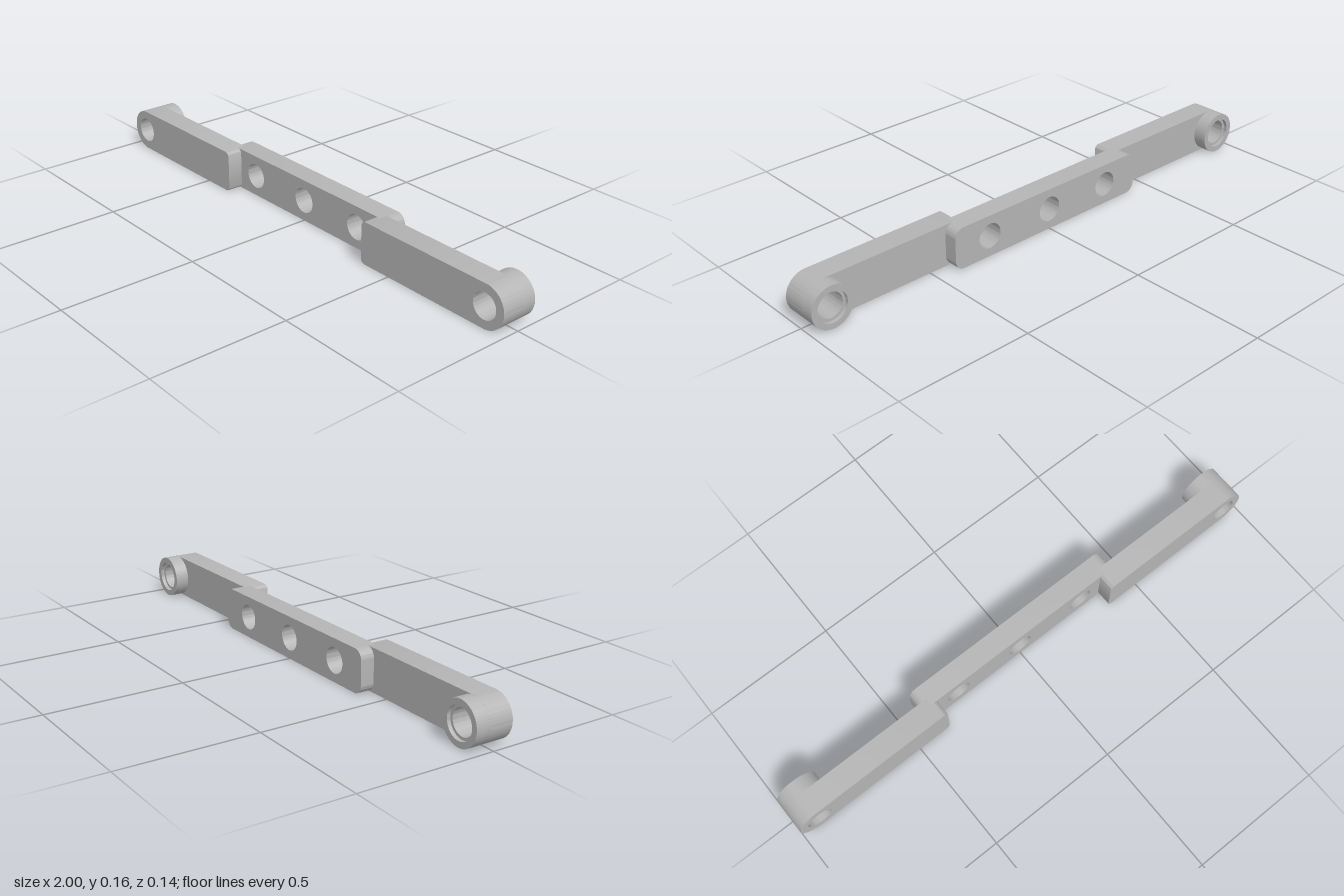
import * as THREE from 'three';
import { toCreasedNormals } from 'three/addons/utils/BufferGeometryUtils.js';

const R = 0.0785;      // half height of the link
const HOLE = 0.047;    // pin hole radius
const END = 1 - R;     // x of the end pin holes

// Rounded rectangle from x0 to x1 with its own corner radius at each end
function barShape(x0, x1, r0, r1) {
  const s = new THREE.Shape();
  s.moveTo(x0 + r0, -R);
  s.lineTo(x1 - r1, -R);
  s.absarc(x1 - r1, -R + r1, r1, -Math.PI / 2, 0, false);
  s.absarc(x1 - r1, R - r1, r1, 0, Math.PI / 2, false);
  s.lineTo(x0 + r0, R);
  s.absarc(x0 + r0, R - r0, r0, Math.PI / 2, Math.PI, false);
  s.absarc(x0 + r0, -R + r0, r0, Math.PI, Math.PI * 1.5, false);
  return s;
}

function addHole(shape, x, r) {
  const hole = new THREE.Path();
  hole.absarc(x, 0, r, 0, Math.PI * 2, true);
  shape.holes.push(hole);
  return shape;
}

function ringShape(x, outer, inner) {
  const s = new THREE.Shape();
  s.absarc(x, 0, outer, 0, Math.PI * 2, false);
  return addHole(s, x, inner);
}

export function createModel() {
  const model = new THREE.Group();
  model.name = 'steppedLink';
  const grey = new THREE.MeshStandardMaterial({ color: 0xb4b4b4 });
  grey.name = 'grey';

  // Extrude a shape between two depths with smooth round walls
  const slab = (name, shape, z0, z1) => {
    const geo = new THREE.ExtrudeGeometry(shape, { depth: z1 - z0, bevelEnabled: false, curveSegments: 24 });
    geo.translate(0, 0, z0);
    const mesh = new THREE.Mesh(toCreasedNormals(geo, 0.6), grey);
    mesh.name = name;
    return mesh;
  };

  // Rear centre bar with three pin holes
  const bar = barShape(-0.43, 0.43, 0.035, 0.035);
  for (const x of [-0.278, 0, 0.278]) addHole(bar, x, HOLE);
  const centreBar = slab('centreBar', bar, -0.07, 0.011);
  centreBar.position.y = R;
  model.add(centreBar);

  // Front arms, each with a counterbored boss behind its round end
  for (const side of ['left', 'right']) {
    const arm = new THREE.Group();
    arm.name = side + 'Arm';
    arm.add(slab('armPlate', addHole(barShape(0.368, 1, 0.018, R), END, HOLE), -0.018, 0.07));
    arm.add(slab('boss', ringShape(END, R, HOLE), -0.056, -0.018));
    arm.add(slab('bossRim', ringShape(END, R, 0.057), -0.07, -0.056));
    arm.position.y = R;
    if (side === 'right') arm.rotation.z = Math.PI;
    model.add(arm);
  }
  return model;
}
